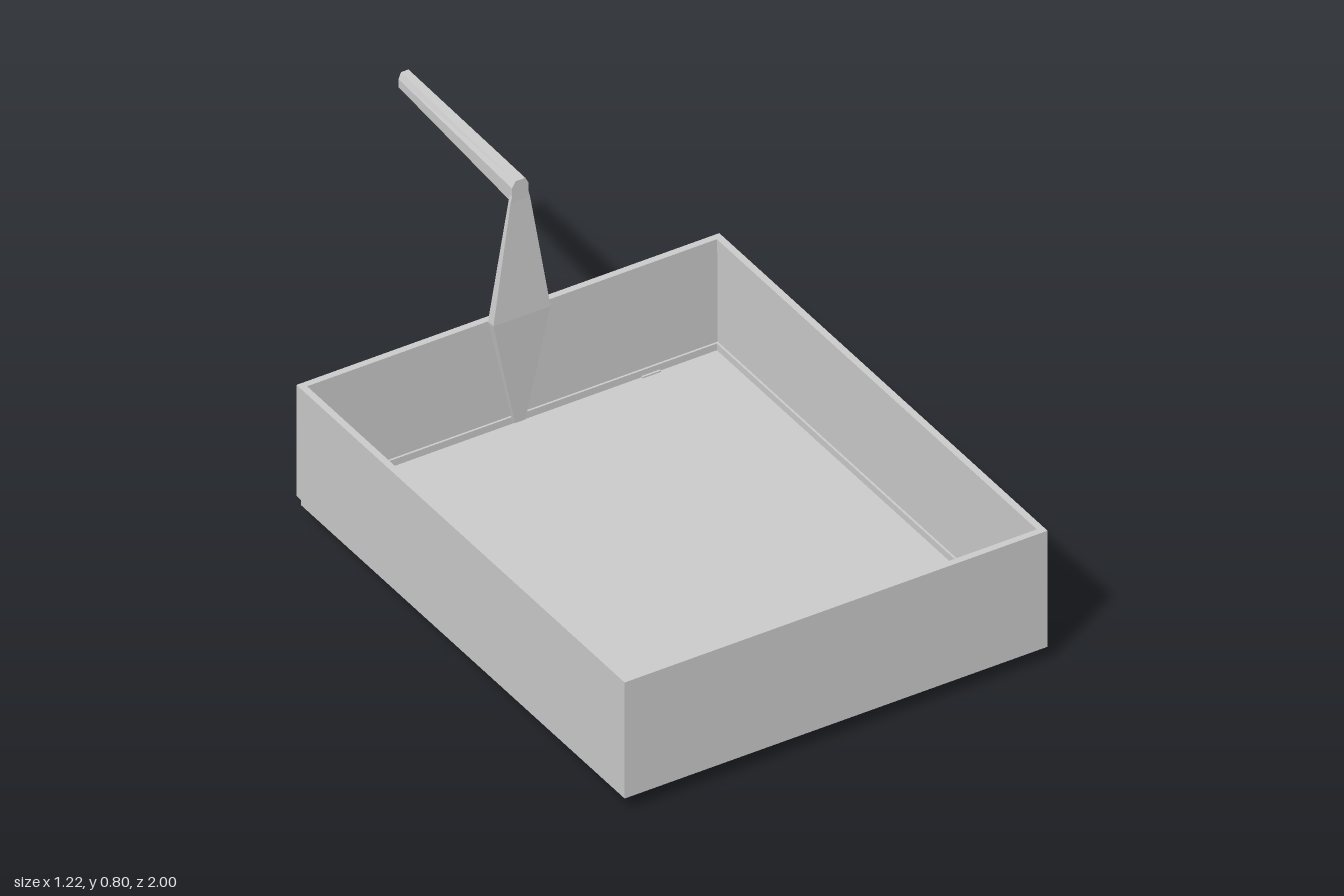
import * as THREE from 'three';

const material = new THREE.MeshStandardMaterial({ color: 0xcccccc, flatShading: true, side: THREE.DoubleSide });
const HALF_W = 0.61, BACK = -0.505, FRONT = 1;

function add(parent, geometry, name) {
  const mesh = new THREE.Mesh(geometry, material);
  mesh.name = name;
  parent.add(mesh);
  return mesh;
}

// Plan outline (x, z) raised from y0 to y1
function slab(points, hole, y0, y1) {
  const toShape = (p) => p.map(([x, z]) => new THREE.Vector2(x, -z));
  const shape = new THREE.Shape(toShape(points));
  if (hole) shape.holes.push(new THREE.Path(toShape(hole)));
  const geometry = new THREE.ExtrudeGeometry(shape, { depth: y1 - y0, bevelEnabled: false });
  return geometry.rotateX(-Math.PI / 2).translate(0, y0, 0);
}

const rect = (inset) => [
  [-HALF_W + inset, BACK + inset], [HALF_W - inset, BACK + inset],
  [HALF_W - inset, FRONT - inset], [-HALF_W + inset, FRONT - inset],
];

// Skin over equal-sized rings of points, with flat caps
function loft(rings) {
  const n = rings[0].length;
  const index = [];
  for (let r = 0; r < rings.length - 1; r++) {
    for (let i = 0; i < n; i++) {
      const a = r * n + i, b = r * n + (i + 1) % n;
      index.push(a, b, a + n, b, b + n, a + n);
    }
  }
  const last = (rings.length - 1) * n;
  for (let i = 1; i < n - 1; i++) {
    index.push(0, i + 1, i, last, last + i, last + i + 1);
  }
  const geometry = new THREE.BufferGeometry();
  geometry.setAttribute('position', new THREE.Float32BufferAttribute(rings.flat(2), 3));
  geometry.setIndex(index);
  const flat = geometry.toNonIndexed();
  flat.computeVertexNormals();
  return flat;
}

export function createModel() {
  const model = new THREE.Group();
  model.name = 'trayWithHandle';

  // Tray: floor with clipped back corners, skirting, thin walls and a thicker rim
  const tray = new THREE.Group();
  tray.name = 'tray';
  model.add(tray);
  const c = 0.02;
  const floorOutline = [
    [-HALF_W, BACK + c], [-HALF_W + c, BACK + 0.005], [HALF_W - c, BACK + 0.005],
    [HALF_W, BACK + c], [HALF_W, FRONT], [-HALF_W, FRONT],
  ];
  add(tray, slab(floorOutline, null, 0.045, 0.06), 'floor');
  add(tray, slab(rect(0), rect(0.019), 0.06, 0.08), 'skirting');
  add(tray, slab(rect(0), rect(0.013), 0.08, 0.35), 'walls');
  add(tray, slab(rect(0), rect(0.019), 0.35, 0.39), 'rim');

  // Upright: diamond blade standing against the back wall
  const bladeSections = [ // y, x min, x max, z back, z front
    [0.07, 0, 0.03, -0.485, -0.472],
    [0.39, -0.07, 0.095, -0.485, -0.46],
    [0.73, -0.014, 0.042, -0.48, -0.47],
    [0.79, 0, 0.027, -0.48, -0.47],
  ];
  add(model, loft(bladeSections.map(([y, x0, x1, z0, z1]) =>
    [[x0, y, z1], [x1, y, z1], [x1, y, z0], [x0, y, z0]])), 'upright');

  // Handle: tapering bar with chamfered top edges
  const barSections = [ // z, bottom, top, half width
    [-0.47, 0.73, 0.79, 0.024],
    [-1, 0.76, 0.802, 0.018],
  ];
  add(model, loft(barSections.map(([z, y0, y1, w]) =>
    [[-w, y0], [-w, y1 - 0.018], [-w * 0.6, y1], [w * 0.6, y1], [w, y1 - 0.018], [w, y0]]
      .map(([x, y]) => [x + 0.014, y, z]))), 'handle');

  // Hooks: arms reaching out from the back, each with a turned-down tip
  for (const [name, x, width] of [['rightHook', -0.412, 0.065], ['leftHook', 0.4, 0.052]]) {
    const profile = new THREE.Shape([
      [0.48, 0.048], [0.605, 0.048], [0.605, 0], [0.622, 0], [0.622, 0.064], [0.48, 0.064],
    ].map(([z, y]) => new THREE.Vector2(z, y)));
    const geometry = new THREE.ExtrudeGeometry(profile, { depth: width, bevelEnabled: false });
    geometry.translate(0, 0, -width / 2).rotateY(Math.PI / 2);
    add(model, geometry, name).position.x = x;
  }
  return model;
}
